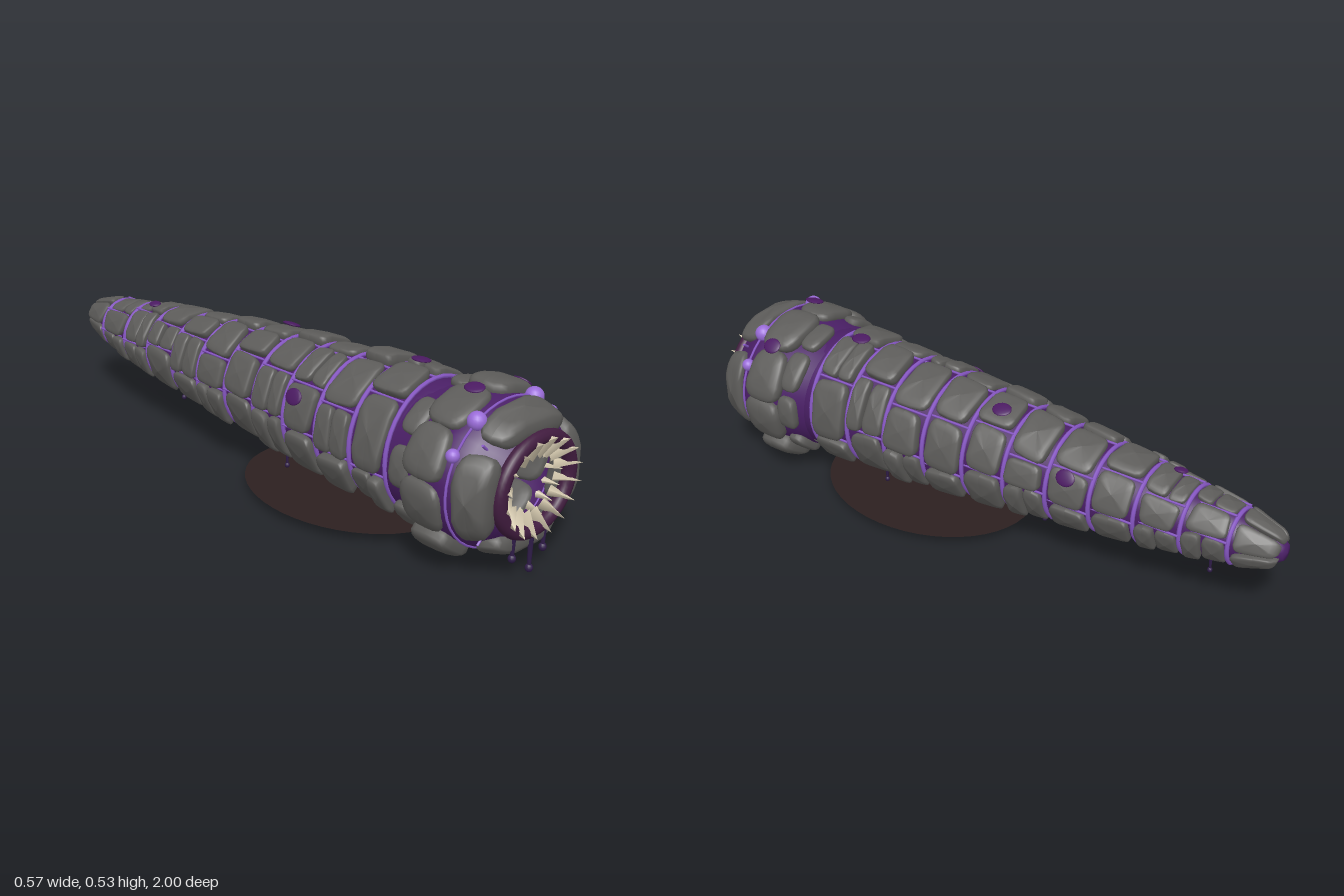
import * as THREE from 'three';

const mat = (name, color, side = THREE.FrontSide) =>
  Object.assign(new THREE.MeshStandardMaterial({ color, side }), { name });
const MATS = {
  stone: mat('stone grey', 0x5d5c5a),
  flesh: mat('deep purple flesh', 0x4a1f66, THREE.DoubleSide),
  vein: mat('vein violet', 0x8757c4),
  glow: mat('glow violet', 0x9a6cd9),
  lip: mat('dark maroon', 0x411c3f),
  tooth: mat('ivory', 0xd9cdb2),
  slime: mat('slime indigo', 0x2f1c48),
  spot: mat('spot purple', 0x4b1a62),
  ground: mat('dark earth', 0x2c2020, THREE.DoubleSide),
};
const CY = 0.275; // height of the body axis
const RAD = Math.PI / 180;

let seed = 11;
const rnd = () => (seed = (seed * 16807) % 2147483647) / 2147483647;
const range = (a, b) => a + (b - a) * rnd();

function add(parent, name, geometry, material, x = 0, y = 0, z = 0) {
  const m = new THREE.Mesh(geometry, material);
  m.name = name;
  m.position.set(x, y, z);
  parent.add(m);
  return m;
}

function group(parent, name, y = 0) {
  const g = new THREE.Group();
  g.name = name;
  g.position.y = y;
  parent.add(g);
  return g;
}

// Body profile from tail to neck: [radius, z]
const PROFILE = [[0, -0.995], [0.025, -0.99], [0.042, -0.965], [0.078, -0.85], [0.1, -0.7], [0.118, -0.55],
  [0.133, -0.4], [0.152, -0.2], [0.169, 0], [0.185, 0.2], [0.195, 0.4], [0.2, 0.6], [0.2, 0.67]];

function radiusAt(z) {
  for (let i = 1; i < PROFILE.length; i++) {
    const [r0, z0] = PROFILE[i - 1], [r1, z1] = PROFILE[i];
    if (z <= z1) return r0 + (r1 - r0) * (z - z0) / (z1 - z0);
  }
  return 0.2;
}

function lathe(points) {
  return new THREE.LatheGeometry(points.map(p => new THREE.Vector2(...p)), 40).rotateX(Math.PI / 2);
}

// Rounded slab wrapped round the z axis; r(z) is the inner radius, angles in degrees
function plate(parent, name, mid, width, z0, z1, r, thick, power = 0.4) {
  const g = new THREE.SphereGeometry(1, 18, 10);
  const p = g.attributes.position;
  const soft = v => Math.sign(v) * Math.pow(Math.abs(v), power);
  const skew = range(-0.08, 0.08), lean = range(-0.12, 0.12);
  for (let i = 0; i < p.count; i++) {
    const a = soft(p.getX(i)), h = soft(p.getY(i)), b = soft(p.getZ(i));
    const t = (mid - (a + skew * b) * width / 2) * RAD;
    const z = (z0 + z1) / 2 + (b * (1 + lean * a)) * (z1 - z0) / 2;
    const rad = r(z) + thick * (h + 1) / 2;
    p.setXYZ(i, rad * Math.cos(t), rad * Math.sin(t), z);
  }
  g.computeVertexNormals();
  return add(parent, name, g, MATS.stone);
}

function ring(parent, r, z, tube) {
  add(parent, 'veinRing', new THREE.TorusGeometry(r, tube, 6, 40), MATS.vein, 0, 0, z);
}

function buildBody(root) {
  const body = group(root, 'body', CY);
  add(body, 'bodyFlesh', lathe([...PROFILE, [0.17, 0.685], [0.1, 0.7], [0, 0.705]]), MATS.flesh);
  const step = 0.1435;
  const inner = z => radiusAt(z) - 0.008;
  for (let i = 0; i < 11; i++) {
    const front = 0.59 - i * step;
    const last = i === 10;
    const back = last ? -0.995 : front - step;
    ring(body, radiusAt(front) + 0.005, front, 0.007);
    const thick = 0.036 - i * 0.0012;

    // Irregular plates across the back and sides, some split in two rows
    const count = i < 7 ? 6 : 5;
    const cuts = [-52];
    for (let k = 1; k < count; k++) cuts.push(-52 + 284 * (k + range(-0.25, 0.25)) / count);
    cuts.push(232);
    for (let k = 0; k < count; k++) {
      const mid = (cuts[k] + cuts[k + 1]) / 2, width = cuts[k + 1] - cuts[k] - 2.5;
      const a = back + 0.009, b = front - 0.009;
      const t = () => thick * range(0.75, 1.25);
      if (!last && rnd() < 0.36) {
        const c = a + (b - a) * range(0.42, 0.58);
        plate(body, 'bodyPlate', mid, width, a, c - 0.002, inner, t());
        plate(body, 'bodyPlate', mid, width, c + 0.002, b, inner, t());
      } else plate(body, 'bodyPlate', mid, width, a + rnd() * 0.008, b - rnd() * 0.008, inner, t());
      // Lengthwise vein in the gap beside the plate
      if (k > 0 && !last) {
        const ang = cuts[k] * RAD, m = (front + back) / 2, r = radiusAt(m) + 0.003;
        const v = add(body, 'vein', new THREE.CylinderGeometry(0.004, 0.004, step, 6), MATS.vein,
          r * Math.cos(ang), r * Math.sin(ang), m);
        v.rotation.x = Math.PI / 2;
      }
    }
  }
}

function buildHead(root) {
  const head = group(root, 'head', CY);
  head.scale.x = 1.12;
  add(head, 'headFlesh', lathe([[0.195, 0.61], [0.202, 0.66], [0.215, 0.72], [0.22, 0.8], [0.218, 0.845],
    [0.2, 0.88], [0.175, 0.92], [0.15, 0.95]]), MATS.flesh);
  ring(head, 0.219, 0.845, 0.004);
  add(head, 'lip', new THREE.TorusGeometry(0.138, 0.021, 12, 48), MATS.lip, 0, 0, 0.958);

  // Four great plates framing the mouth
  for (const a of [0, 90, 180, 270])
    plate(head, 'jawPlate', a, 80, 0.857, 0.957, z => 0.142 + (0.957 - z) * 0.3, 0.06, 0.52);
  for (const a of [45, 135, 225, 315]) {
    const v = add(head, 'jawVein', new THREE.CylinderGeometry(0.004, 0.004, 0.035, 6), MATS.vein,
      0.193 * Math.cos(a * RAD), 0.193 * Math.sin(a * RAD), 0.9);
    v.rotation.z = (a - 90) * RAD;
  }
  // Crown of lumpy plates behind them: angle, width, thickness
  for (const [a, w, t] of [[28, 44, 0.05], [70, 42, 0.058], [112, 42, 0.046], [152, 40, 0.05],
    [194, 42, 0.045], [234, 40, 0.068], [306, 40, 0.068], [347, 42, 0.05]])
    plate(head, 'crownPlate', a, w, 0.692, 0.826, () => 0.196, t, 0.6);
  for (const a of [-45, 0, 38, 75, 130, 172, 220])
    plate(head, 'neckPlate', a, range(28, 36), 0.632, 0.705, () => 0.19, range(0.03, 0.04), 0.6);
}

// Four-sided fangs leaning outward round the mouth, shorter at the sides
function buildTeeth(root) {
  const teeth = group(root, 'teeth', CY);
  teeth.scale.x = 1.1;
  const rows = [
    { n: 16, offset: 0.5, base: [0.104, 0.935], tip: [0.146, 1], r: 0.019 },
    { n: 16, offset: 0, base: [0.108, 0.905], tip: [0.122, 0.955], r: 0.012 },
  ];
  for (const { n, offset, base, tip, r } of rows) {
    const dr = tip[0] - base[0], dz = tip[1] - base[1], len = Math.hypot(dr, dz);
    for (let i = 0; i < n; i++) {
      const angle = (i + offset) * 2 * Math.PI / n;
      const size = 0.65 + 0.4 * Math.abs(Math.sin(angle));
      const spin = group(teeth, 'toothMount');
      spin.rotation.z = angle - Math.PI / 2;
      const t = add(spin, 'tooth', new THREE.ConeGeometry(r, len, 4), MATS.tooth,
        0, (base[0] + tip[0]) / 2, (base[1] + tip[1]) / 2);
      t.scale.set(size, 1, 1.9 * size);
      t.rotation.x = Math.atan2(dz, dr);
    }
  }
}

function buildDetails(root) {
  // Glowing nodules on the head
  for (const s of [-1, 1]) {
    add(root, 'nodule', new THREE.SphereGeometry(0.028, 18, 12), MATS.glow, s * 0.125, 0.465, 0.845);
    add(root, 'nodule', new THREE.SphereGeometry(0.02, 18, 12), MATS.glow, s * 0.215, 0.39, 0.84);
  }
  // Flat oval spots facing outward: x, y, z
  const spots = [[-0.06, 0.525, 0.78], [0.18, 0.47, 0.76], [0.03, 0.507, 0.51], [-0.2, 0.37, 0.22],
    [0.065, 0.458, -0.06], [0.146, 0.36, -0.34], [-0.025, 0.405, -0.63]];
  for (const [x, y, z] of spots) {
    const m = add(root, 'spot', new THREE.SphereGeometry(1, 16, 8), MATS.spot, x, y, z);
    const k = z < -0.5 ? 0.7 : 1;
    m.scale.set(0.026 * k, 0.006, 0.032 * k);
    m.rotation.z = Math.atan2(y - CY, x) - Math.PI / 2;
  }
  // Slime drips: x, top, bottom, z
  const drips = [[0, 0.13, 0.003, 0.955], [-0.075, 0.15, 0.058, 0.95], [0.065, 0.13, 0.043, 0.95],
    [0.095, 0.12, 0.044, 0.375], [-0.095, 0.15, 0.06, 0.085], [0.03, 0.14, 0.08, -0.2],
    [-0.03, 0.17, 0.1, -0.485], [0.03, 0.21, 0.13, -0.775]];
  for (const [x, top, low, z] of drips) {
    const r = z > 0.9 ? 0.012 : 0.008, h = top - low - r;
    const drip = group(root, 'drip');
    add(drip, 'dripStem', new THREE.CylinderGeometry(r * 0.8, r * 0.45, h, 8), MATS.slime, x, top - h / 2, z);
    add(drip, 'dripBead', new THREE.SphereGeometry(r, 12, 8), MATS.slime, x, low + r * 1.1, z).scale.y = 1.1;
  }
  // Patch of earth underneath
  const patch = add(root, 'groundPatch', new THREE.CircleGeometry(1, 48), MATS.ground, 0, 0.033, 0.265);
  patch.rotation.x = -Math.PI / 2;
  patch.scale.set(0.285, 0.366, 1);
}

export function createModel() {
  const root = new THREE.Group();
  root.name = 'armouredWorm';
  buildBody(root);
  buildHead(root);
  buildTeeth(root);
  buildDetails(root);
  return root;
}
